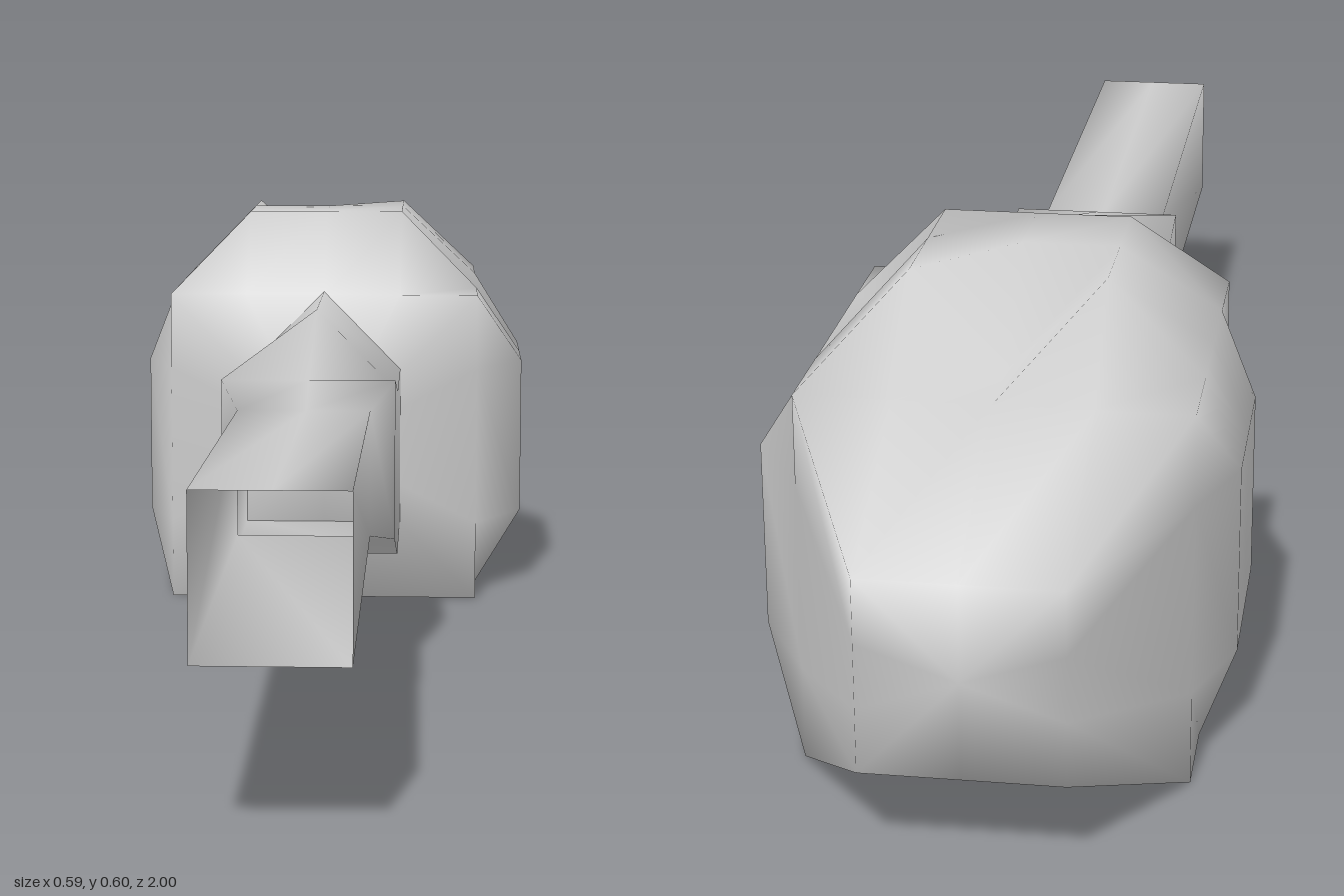
import * as THREE from 'three';
import { mergeVertices } from 'three/addons/utils/BufferGeometryUtils.js';

// Skin a list of equal-length rings running from front (+z) to back (-z).
// Each ring is { z, pts: [[x, y], ...] }, anticlockwise as seen from the front.
function loft(rings, capped) {
  const n = rings[0].pts.length;
  const pos = [];
  const index = [];
  rings.forEach(({ z, pts }) => pts.forEach(([x, y]) => pos.push(x, y, z)));
  for (let k = 0; k < rings.length - 1; k++) {
    for (let i = 0; i < n; i++) {
      const j = (i + 1) % n;
      const a = k * n + i, b = k * n + j, c = b + n, d = a + n;
      index.push(a, d, b, b, d, c);
    }
  }
  if (capped) {
    [0, rings.length - 1].forEach((k) => {
      const { z, pts } = rings[k];
      const ys = pts.map((p) => p[1]);
      const centre = pos.length / 3;
      pos.push(-0.013, (Math.min(...ys) + Math.max(...ys)) / 2, z);
      for (let i = 0; i < n; i++) {
        const a = k * n + i, b = k * n + ((i + 1) % n);
        if (k === 0) index.push(centre, a, b);
        else index.push(centre, b, a);
      }
    });
  }
  const g = new THREE.BufferGeometry();
  g.setAttribute('position', new THREE.Float32BufferAttribute(pos, 3));
  g.setIndex(index);
  const merged = mergeVertices(g, 1e-4);
  merged.computeVertexNormals();
  return merged;
}

// Twelve-point head section: bottom, flank and shoulder points, then the top
function headRing(z, { low = [-0.25, 0.223], wide = [-0.295, 0.295], top = [-0.133, 0.105],
  ys = [0, 0.12, 0.36, 0.475, 0.595] } = {}) {
  return { z, pts: [
    [-0.013, ys[0]], [low[1], ys[0]], [wide[1], ys[1]], [wide[1], ys[2]], [low[1], ys[3]],
    [top[1], ys[4]], [-0.013, ys[4]], [top[0], ys[4]],
    [low[0], ys[3]], [wide[0], ys[2]], [wide[0], ys[1]], [low[0], ys[0]],
  ] };
}

// Five-point handle section with a ridge along the top
function handleRing(z, x0, x1, bottom, side, ridge) {
  return { z, pts: [[x0, bottom], [x1, bottom], [x1, side], [-0.013, ridge], [x0, side]] };
}

export function createModel() {
  const model = new THREE.Group();
  const material = new THREE.MeshStandardMaterial({ color: 0xcccccc, side: THREE.DoubleSide });
  const add = (name, geometry) => {
    const mesh = new THREE.Mesh(geometry, material);
    mesh.name = name;
    model.add(mesh);
  };

  // Faceted head with softened shading and two small dents
  const square = [-0.25, 0.223];
  const rings = [
    headRing(-0.285, { wide: square, ys: [0, 0.12, 0.36, 0.475, 0.475] }),
    headRing(-0.4),
    headRing(-0.52),
    headRing(-0.64),
    headRing(-0.76, { wide: square, ys: [0, 0.12, 0.36, 0.475, 0.475] }),
    headRing(-1, { low: [-0.133, 0.105], wide: [-0.133, 0.105], ys: [0.12, 0.2, 0.28, 0.36, 0.36] }),
  ];
  rings[2].pts[4] = [0.105, 0.475]; // dent in the left shoulder
  rings[3].pts[6] = [-0.013, 0.475]; // dent at the back of the crown
  add('head', loft(rings, true));

  // Hollow handle, open at the front and swelling into a collar at the head
  add('handle', loft([
    handleRing(1, -0.105, 0.073, 0.21, 0.403, 0.403),
    handleRing(0.28, -0.105, 0.073, 0.21, 0.38, 0.38),
    handleRing(0.2, -0.133, 0.105, 0.19, 0.41, 0.41),
    handleRing(-0.04, -0.133, 0.105, 0.12, 0.36, 0.48),
    handleRing(-0.3, -0.133, 0.105, 0.12, 0.36, 0.48),
  ], false));

  return model;
}
